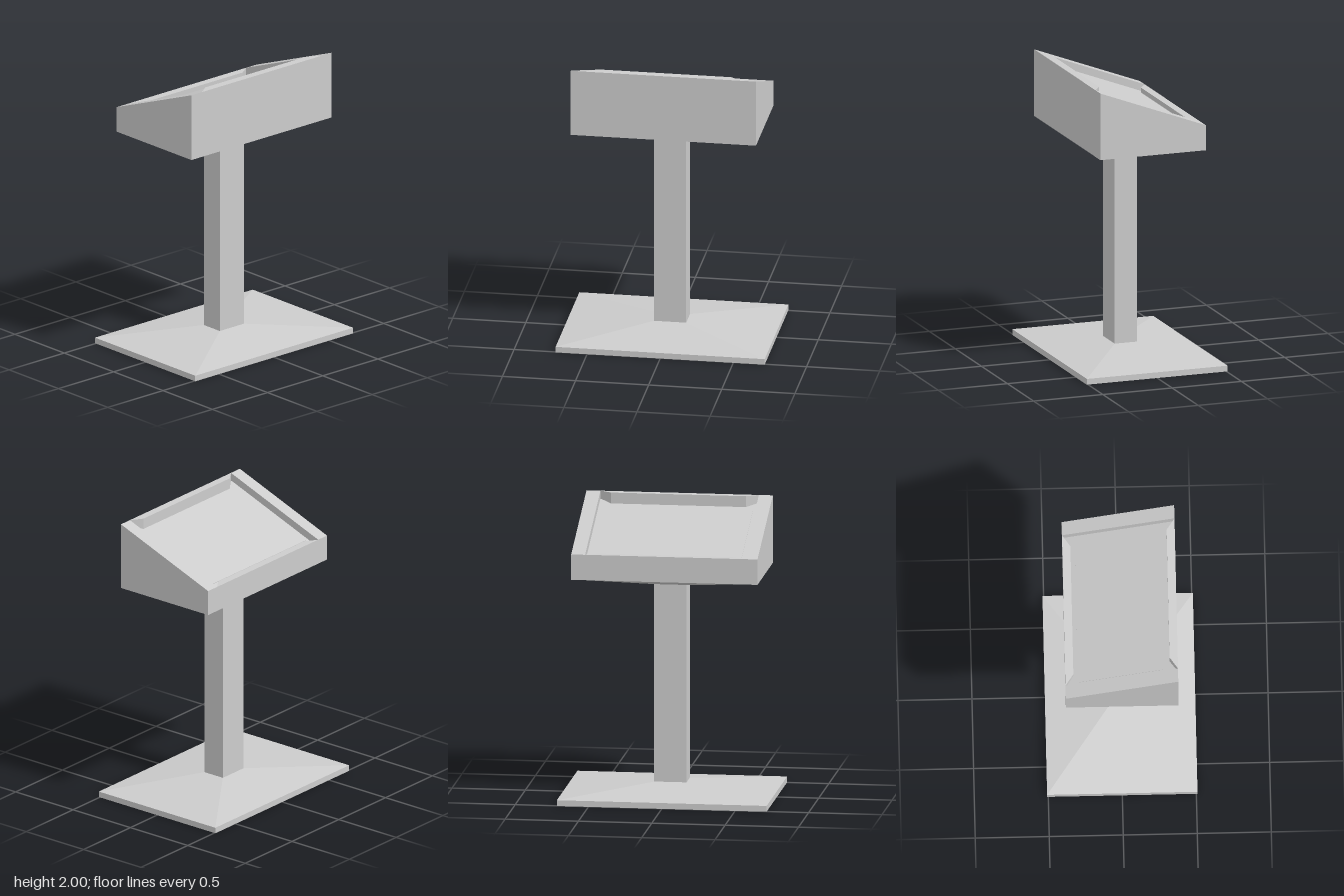
import * as THREE from 'three';

const grey = new THREE.MeshStandardMaterial({ color: 0xcccccc, flatShading: true });
grey.name = 'light grey';

const SLOPE = (2.0 - 1.71) / 0.76;
const slopeY = (z) => 1.855 + z * SLOPE; // height of the slanted top at depth z

function add(group, name, geometry) {
  const mesh = new THREE.Mesh(geometry, grey);
  mesh.name = name;
  group.add(mesh);
  return mesh;
}

// Box whose bottom and top have their own half sizes [x, z]
function taperedBox(y0, y1, bottom, top) {
  const g = new THREE.BoxGeometry(2, y1 - y0, 2);
  const p = g.attributes.position;
  for (let i = 0; i < p.count; i++) {
    const [hx, hz] = p.getY(i) > 0 ? top : bottom;
    p.setX(i, p.getX(i) * hx);
    p.setZ(i, p.getZ(i) * hz);
  }
  g.translate(0, (y0 + y1) / 2, 0);
  g.computeVertexNormals();
  return g;
}

function extrude(points, depth) {
  const shape = new THREE.Shape(points.map(([x, y]) => new THREE.Vector2(x, y)));
  return new THREE.ExtrudeGeometry(shape, { depth, bevelEnabled: false });
}

// Side profile of [z, y] points, extruded from x0 to x1
function sideProfile(points, x0, x1) {
  return extrude(points, x1 - x0).rotateY(-Math.PI / 2).translate(x1, 0, 0);
}

// Wall with mitred ends on the +z (dir 1) or -z (dir -1) edge of the head
function mitredWall(dir, y0, y1) {
  const outer = -0.38 * dir, inner = -0.325 * dir;
  return extrude([[-0.54, outer], [0.54, outer], [0.46, inner], [-0.46, inner]], y1 - y0)
    .rotateX(-Math.PI / 2).translate(0, y0, 0);
}

export function createModel() {
  const model = new THREE.Group();
  model.name = 'lectern';

  // Foot and post
  const post = [0.11, 0.08];
  add(model, 'baseSlab', taperedBox(0, 0.04, [0.715, 0.508], [0.715, 0.508]));
  add(model, 'baseSlope', taperedBox(0.04, 0.1, [0.715, 0.508], post));
  add(model, 'post', taperedBox(0.1, 1.46, post, post));

  // Slanted head
  const head = new THREE.Group();
  head.name = 'head';
  model.add(head);
  add(head, 'headUnderside', taperedBox(1.46, 1.535, post, [0.54, 0.38]));

  for (const [name, x] of [['leftPanel', 0.54], ['rightPanel', -0.635]]) {
    add(head, name, sideProfile(
      [[-0.38, 1.535], [0.38, 1.535], [0.38, slopeY(0.38)], [-0.38, slopeY(-0.38)]], x, x + 0.095));
  }
  add(head, 'frontWall', mitredWall(1, 1.535, 2.0));
  add(head, 'backWall', mitredWall(-1, 1.535, 1.71));

  // Recessed reading surface with a thin plate on it
  const trayY = (z) => slopeY(z) - 0.054;
  add(head, 'tray', sideProfile(
    [[-0.375, 1.54], [0.375, 1.54], [0.375, trayY(0.375)], [-0.375, trayY(-0.375)]], -0.54, 0.54));
  add(head, 'readingPlate', sideProfile(
    [[-0.295, trayY(-0.295)], [0.275, trayY(0.275)],
      [0.275, trayY(0.275) + 0.004], [-0.295, trayY(-0.295) + 0.004]], -0.513, 0.513));

  return model;
}
